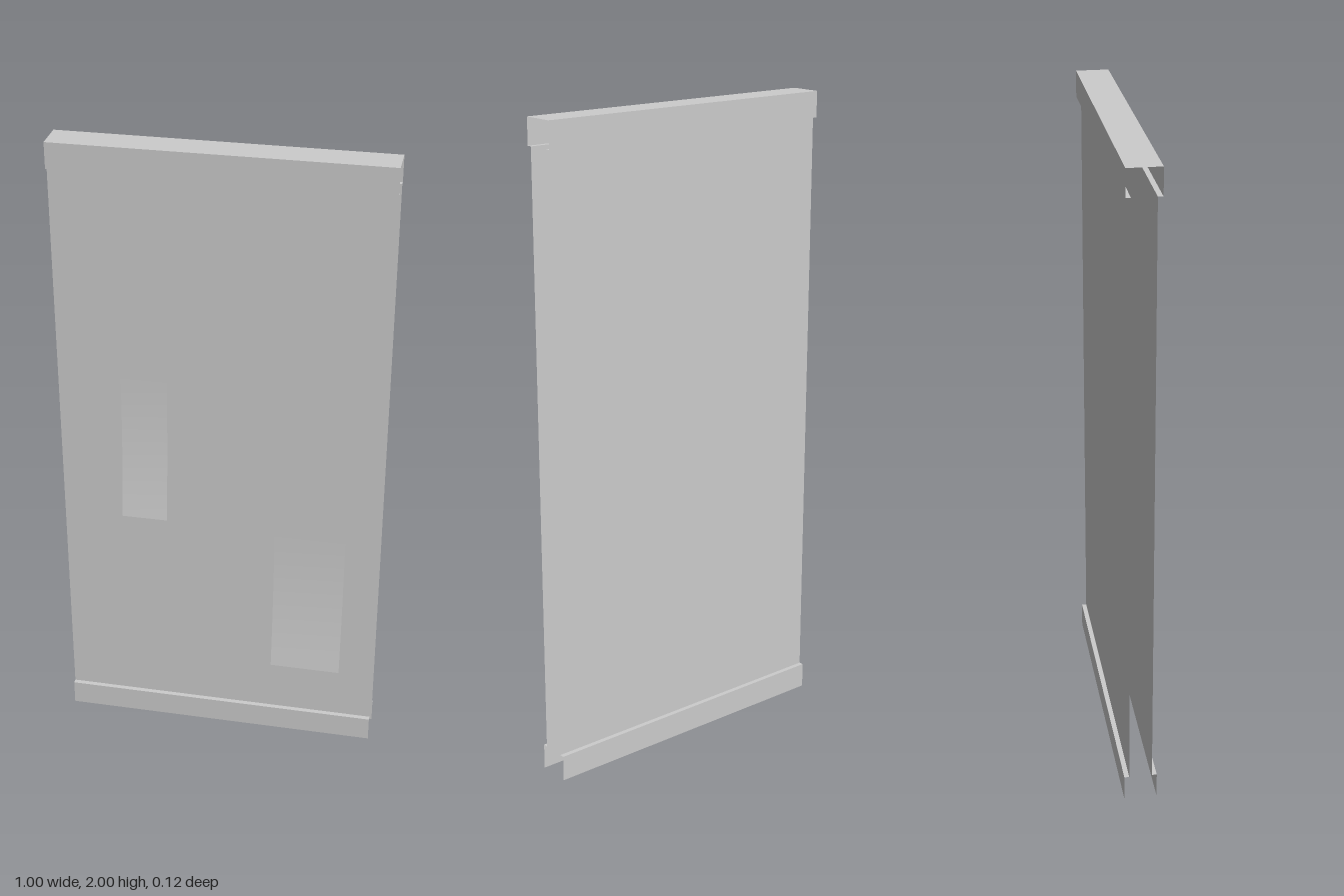
import * as THREE from 'three';

const material = new THREE.MeshStandardMaterial({ color: 0xcccccc, side: THREE.DoubleSide });
const HALF_WIDTH = 0.5;

// Open sheet: a [y, z] profile swept across the full width, with flat faces
function sheet(name, profile) {
  const positions = [];
  for (let i = 0; i < profile.length - 1; i++) {
    const [y0, z0] = profile[i];
    const [y1, z1] = profile[i + 1];
    const a = [-HALF_WIDTH, y0, z0], b = [HALF_WIDTH, y0, z0];
    const c = [HALF_WIDTH, y1, z1], d = [-HALF_WIDTH, y1, z1];
    positions.push(...a, ...b, ...c, ...a, ...c, ...d);
  }
  const geometry = new THREE.BufferGeometry();
  geometry.setAttribute('position', new THREE.Float32BufferAttribute(positions, 3));
  geometry.computeVertexNormals();
  const mesh = new THREE.Mesh(geometry, material);
  mesh.name = name;
  return mesh;
}

// Peeling strip: flush with the panel at its top, curling outward toward the bottom
function peelingFlap(name, x0, x1, y0, y1, zPanel, zTip) {
  const geometry = new THREE.PlaneGeometry(x1 - x0, y1 - y0, 1, 12);
  geometry.translate((x0 + x1) / 2, (y0 + y1) / 2, 0);
  const p = geometry.attributes.position;
  for (let i = 0; i < p.count; i++) {
    const t = (y1 - p.getY(i)) / (y1 - y0);
    p.setZ(i, zPanel + (zTip - zPanel) * t * t);
  }
  geometry.computeVertexNormals();
  const mesh = new THREE.Mesh(geometry, material);
  mesh.name = name;
  return mesh;
}

export function createModel() {
  const group = new THREE.Group();
  group.name = 'wallPanel';

  const front = 0.04, back = -0.06, inset = 0.015;
  const panelFront = front - inset, panelBack = back + inset;
  const low = 0.08, high = 1.92, top = 2;

  // Wall faces, set back from the trim and open at both ends
  group.add(sheet('frontPanel', [[low, panelFront], [high, panelFront]]));
  group.add(sheet('backPanel', [[high, panelBack], [low, panelBack]]));

  // Top trim: lips, two faces and the cap
  group.add(sheet('topTrim', [
    [high, panelFront], [high, front], [top, front],
    [top, back], [high, back], [high, panelBack],
  ]));

  // Skirting on each face, open underneath
  group.add(sheet('frontSkirting', [[0, front], [low, front], [low, panelFront]]));
  group.add(sheet('backSkirting', [[low, panelBack], [low, back], [0, back]]));

  // Peeling strips on the front face
  group.add(peelingFlap('upperFlap', -0.305, -0.163, 0.79, 1.26, panelFront + 0.001, 0.06));
  group.add(peelingFlap('lowerFlap', 0.173, 0.395, 0.27, 0.75, panelFront + 0.001, 0.056));

  return group;
}
